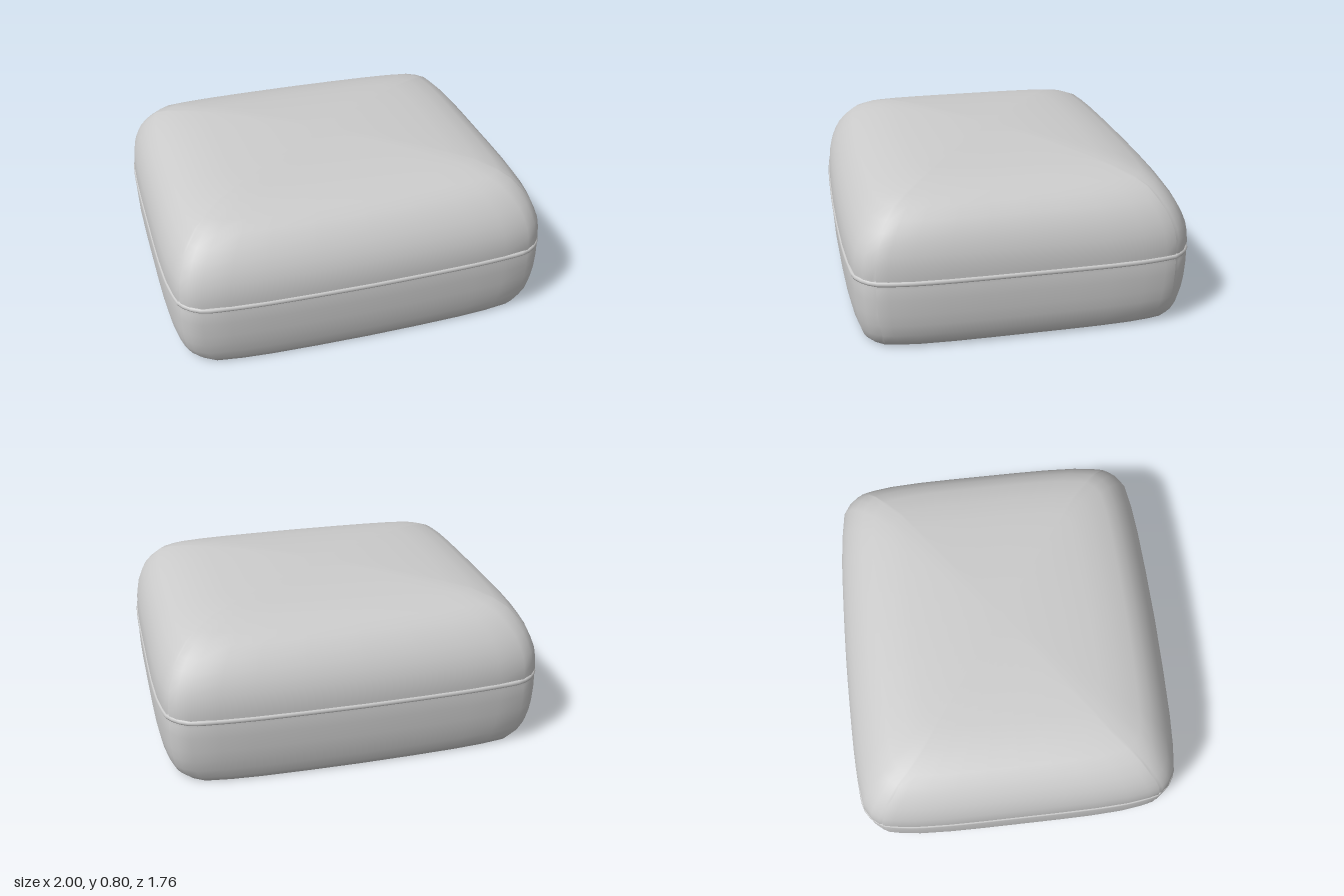
import * as THREE from 'three';
import { mergeVertices } from 'three/addons/utils/BufferGeometryUtils.js';

// One quarter of the cushion outline, as fractions of half width and half depth;
// the corner seam is a small notch of the given depth.
const quarter = (notch) => [
  [1, 0], [1, 0.25], [0.998, 0.45], [0.99, 0.65], [0.975, 0.78],
  [0.9624, 0.845], [0.96 - notch, 0.855 - notch], [0.953, 0.865],
  [0.92, 0.91], [0.86, 0.953], [0.72, 0.975], [0.55, 0.988], [0.3, 0.996], [0, 1],
];

// Mirror the quarter into a full closed outline
function outline(y, hx, hz, notch = 0) {
  const q = quarter(notch);
  const r = [...q].reverse();
  const part = (pts, sx, sz) =>
    pts.slice(0, -1).map(([x, z]) => new THREE.Vector3(x * hx * sx, y, z * hz * sz));
  return [...part(q, 1, 1), ...part(r, -1, 1), ...part(q, -1, -1), ...part(r, 1, -1)];
}

// Skin a stack of outlines, bottom to top
function loft(rings) {
  const n = rings[0].length;
  const index = [];
  for (let i = 0; i < rings.length - 1; i++) {
    for (let j = 0; j < n; j++) {
      const a = i * n + j, b = i * n + (j + 1) % n;
      index.push(a, a + n, b, b, a + n, b + n);
    }
  }
  const geometry = new THREE.BufferGeometry().setFromPoints(rings.flat());
  geometry.setIndex(index);
  const merged = mergeVertices(geometry, 1e-5);
  merged.computeVertexNormals();
  return merged;
}

// Height, half width, half depth
const levels = [
  [0, 0, 0], [0, 0.88, 0.78], [0, 0.92, 0.82],
  [0.03, 0.95, 0.835], [0.08, 0.975, 0.85], [0.14, 0.987, 0.862],
  [0.2, 0.993, 0.869], [0.28, 0.996, 0.873], [0.34, 0.994, 0.874],
  [0.365, 0.988, 0.868], [0.39, 0.994, 0.874], [0.45, 0.99, 0.869],
  [0.5, 0.983, 0.859], [0.55, 0.966, 0.84], [0.6, 0.945, 0.813],
  [0.65, 0.91, 0.775], [0.7, 0.86, 0.725], [0.73, 0.8, 0.665],
  [0.76, 0.7, 0.565], [0.775, 0.58, 0.47], [0.788, 0.42, 0.34],
  [0.797, 0.22, 0.18], [0.8, 0, 0],
];

export function createModel() {
  const model = new THREE.Group();
  model.name = 'cushion';
  const fabric = new THREE.MeshStandardMaterial({ color: 0xcccccc });

  // Stuffed body; corner seams run from the base to the shoulder
  const body = new THREE.Mesh(
    loft(levels.map(([y, hx, hz]) => outline(y, hx, hz, y > 0 && y < 0.69 ? 0.008 : 0))),
    fabric,
  );
  body.name = 'cushionBody';
  model.add(body);

  // Piping around the middle
  const path = new THREE.CatmullRomCurve3(outline(0.365, 0.986, 0.866), true);
  const piping = new THREE.Mesh(new THREE.TubeGeometry(path, 160, 0.014, 8, true), fabric);
  piping.name = 'piping';
  model.add(piping);

  return model;
}
